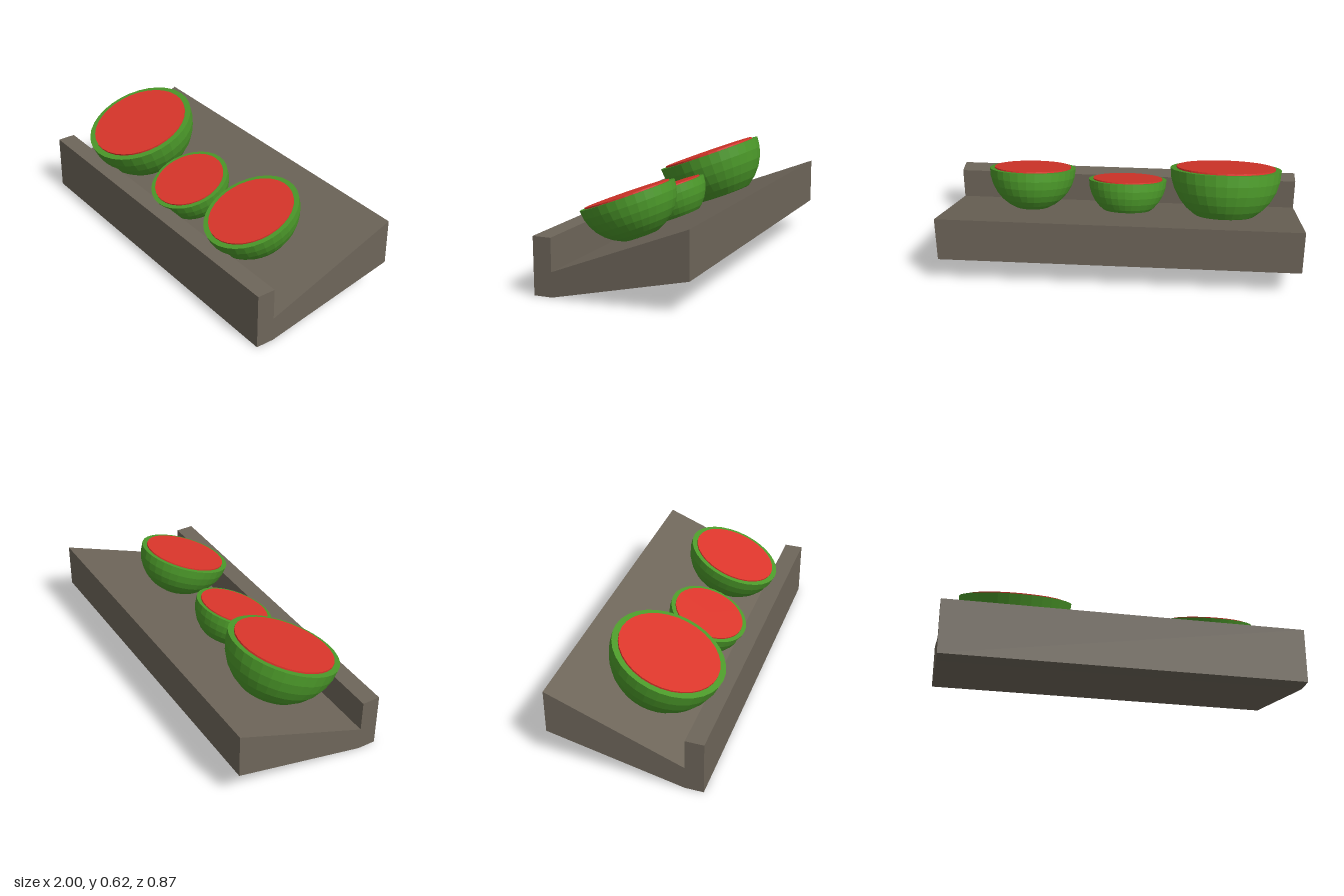
import * as THREE from 'three';

const green = new THREE.MeshStandardMaterial({ color: 0x4c9a2a, flatShading: true });
const red = new THREE.MeshStandardMaterial({ color: 0xdc362b, flatShading: true });
const stone = new THREE.MeshStandardMaterial({ color: 0x6e665a, flatShading: true });
const TILT = Math.atan(0.38);

// Sloping tray with a raised front lip: side profile as [z, y], extruded along x
function makeTray() {
  const profile = [
    [0.433, 0], [0.433, 0.315], [0.33, 0.315], [0.33, 0.135],
    [-0.433, 0.432], [-0.433, 0.173], [0.33, 0],
  ];
  const shape = new THREE.Shape(profile.map(([z, y]) => new THREE.Vector2(z, y)));
  const geometry = new THREE.ExtrudeGeometry(shape, { depth: 2, bevelEnabled: false });
  geometry.translate(0, 0, -1).rotateY(-Math.PI / 2);
  const tray = new THREE.Mesh(geometry, stone);
  tray.name = 'tray';
  return tray;
}

// Half melon of unit radius: hemispherical rind with a flat rim, and a thin flesh disc on top
function makeMelon() {
  const points = [];
  for (let i = 0; i <= 8; i++) {
    const a = (i / 8) * Math.PI / 2;
    points.push(new THREE.Vector2(Math.sin(a), -Math.cos(a)));
  }
  points.push(new THREE.Vector2(0, 0));
  const rind = new THREE.Mesh(new THREE.LatheGeometry(points, 32), green);
  rind.name = 'rind';

  const flesh = new THREE.Mesh(new THREE.CylinderGeometry(0.89, 0.89, 0.05, 32), red);
  flesh.name = 'flesh';
  flesh.position.y = 0.005;

  const melon = new THREE.Group();
  melon.add(rind, flesh);
  return melon;
}

export function createModel() {
  const model = new THREE.Group();
  model.name = 'melonTray';
  model.add(makeTray());

  // Melon halves resting on the slope; the left one is slightly elongated
  const melons = [
    { name: 'largeMelon', at: [-0.578, 0.512, 0.103], radius: 0.317, stretch: 1 },
    { name: 'smallMelon', at: [-0.013, 0.4, 0.14], radius: 0.226, stretch: 1 },
    { name: 'mediumMelon', at: [0.537, 0.464, 0.125], radius: 0.248, stretch: 1.1 },
  ];
  for (const { name, at, radius, stretch } of melons) {
    const melon = makeMelon();
    melon.name = name;
    melon.position.set(...at);
    melon.rotation.x = TILT;
    melon.scale.set(radius, radius, radius * stretch);
    model.add(melon);
  }
  return model;
}
